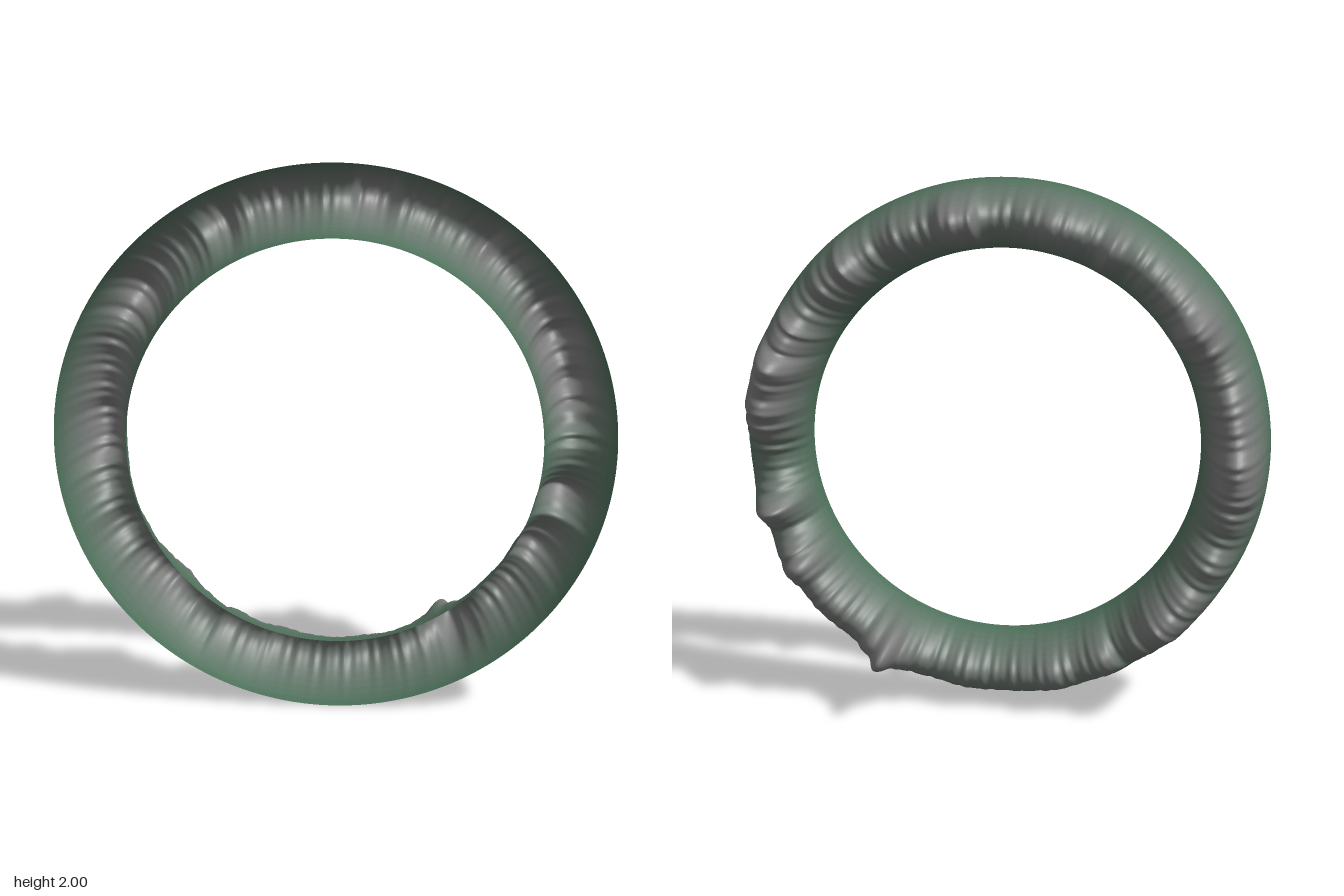
import * as THREE from 'three';

const INNER = 0.742, OUTER = 1, BASE_Z = 0.22;
const SEGMENTS = 720, ROWS = 40, BANDS = 10;

// Ridge line around the ring: [angle in degrees, peak z in hundredths]
const RIDGE = [
  [0, 3], [3, -3], [7, -10], [12, -17], [14, -15], [18, -17], [23, -22], [27, -13], [32, -11],
  [36, -5], [40, -3], [44, -6], [48, -6], [52, -11], [56, -5], [61, -2], [66, -5], [74, -4],
  [79, -11.5], [84, -10], [88, -3], [93, -2], [98, -4], [103, -7.5], [108, -6], [114, -3],
  [118, -8], [124, -1], [130, -4], [139, -8], [145, -15.5], [150, -10], [155, -5], [160, -7],
  [165, -10], [173, -12], [178, -16.5], [183, -15.5], [187, -13], [191, -6], [200, -1], [206, -5],
  [211, -3], [217, -8], [225, -12], [231, -5], [238, 0], [242, -5], [249, -2], [256, -5],
  [262, -2], [270, 0], [278, -2], [285, 0], [291, -3], [295, -9], [298.5, -21], [302, -10],
  [307, -3], [318, -6], [323, -5], [329, -11], [333, -6], [338, 1], [345, -11], [349, 0],
  [352, 5], [356, 6], [360, 3],
];

// Peak z at an angle, eased between ridge points, with a fine ripple
function ridgeZ(deg) {
  let i = 0;
  while (i < RIDGE.length - 2 && deg >= RIDGE[i + 1][0]) i++;
  const [a, za] = RIDGE[i], [b, zb] = RIDGE[i + 1];
  const t = (deg - a) / (b - a);
  const eased = t * t * (3 - 2 * t);
  const rad = THREE.MathUtils.degToRad(deg);
  const ripple = 0.004 * Math.sin(97 * rad) + 0.003 * Math.sin(151 * rad + 1);
  return (za + (zb - za) * eased) / 100 + ripple;
}

function mountainGeometry() {
  const mid = (INNER + OUTER) / 2, half = (OUTER - INNER) / 2;
  const positions = [];
  for (let i = 0; i < SEGMENTS; i++) {
    const deg = (i / SEGMENTS) * 360, a = THREE.MathUtils.degToRad(deg);
    const height = BASE_Z - ridgeZ(deg);
    for (let j = 0; j <= ROWS; j++) {
      const t = -Math.cos((Math.PI * j) / ROWS); // -1 inner rim, +1 outer rim
      const z = BASE_Z - height * Math.pow(Math.max(0, 1 - t * t), 0.8);
      const r = mid + half * t;
      positions.push(r * Math.cos(a), 1 + r * Math.sin(a), z);
    }
  }

  // Triangles sorted into colour bands by height; the last column wraps to the first
  const bands = Array.from({ length: BANDS }, () => []);
  const addTriangle = (a, b, c) => {
    const z = (positions[a * 3 + 2] + positions[b * 3 + 2] + positions[c * 3 + 2]) / 3;
    const k = Math.floor(((BASE_Z - z) / 0.34) * BANDS);
    bands[THREE.MathUtils.clamp(k, 0, BANDS - 1)].push(a, b, c);
  };
  for (let i = 0; i < SEGMENTS; i++) {
    const next = (i + 1) % SEGMENTS;
    for (let j = 0; j < ROWS; j++) {
      const a = i * (ROWS + 1) + j, b = next * (ROWS + 1) + j;
      addTriangle(a, b, a + 1);
      addTriangle(b, b + 1, a + 1);
    }
  }

  const geometry = new THREE.BufferGeometry();
  geometry.setAttribute('position', new THREE.Float32BufferAttribute(positions, 3));
  geometry.setIndex(bands.flat());
  let start = 0;
  bands.forEach((band, k) => {
    geometry.addGroup(start, band.length, k);
    start += band.length;
  });
  geometry.computeVertexNormals();
  return geometry;
}

export function createModel() {
  // Green foothills fading to grey rock at the crest
  const green = new THREE.Color(0x4c6f59), rock = new THREE.Color(0x7c7c7c);
  const materials = Array.from({ length: BANDS }, (_, k) => new THREE.MeshStandardMaterial({
    color: green.clone().lerp(rock, k / (BANDS - 1)),
    side: THREE.DoubleSide,
  }));
  const ring = new THREE.Mesh(mountainGeometry(), materials);
  ring.name = 'mountainRing';

  const group = new THREE.Group();
  group.name = 'ringOfMountains';
  group.add(ring);
  return group;
}
